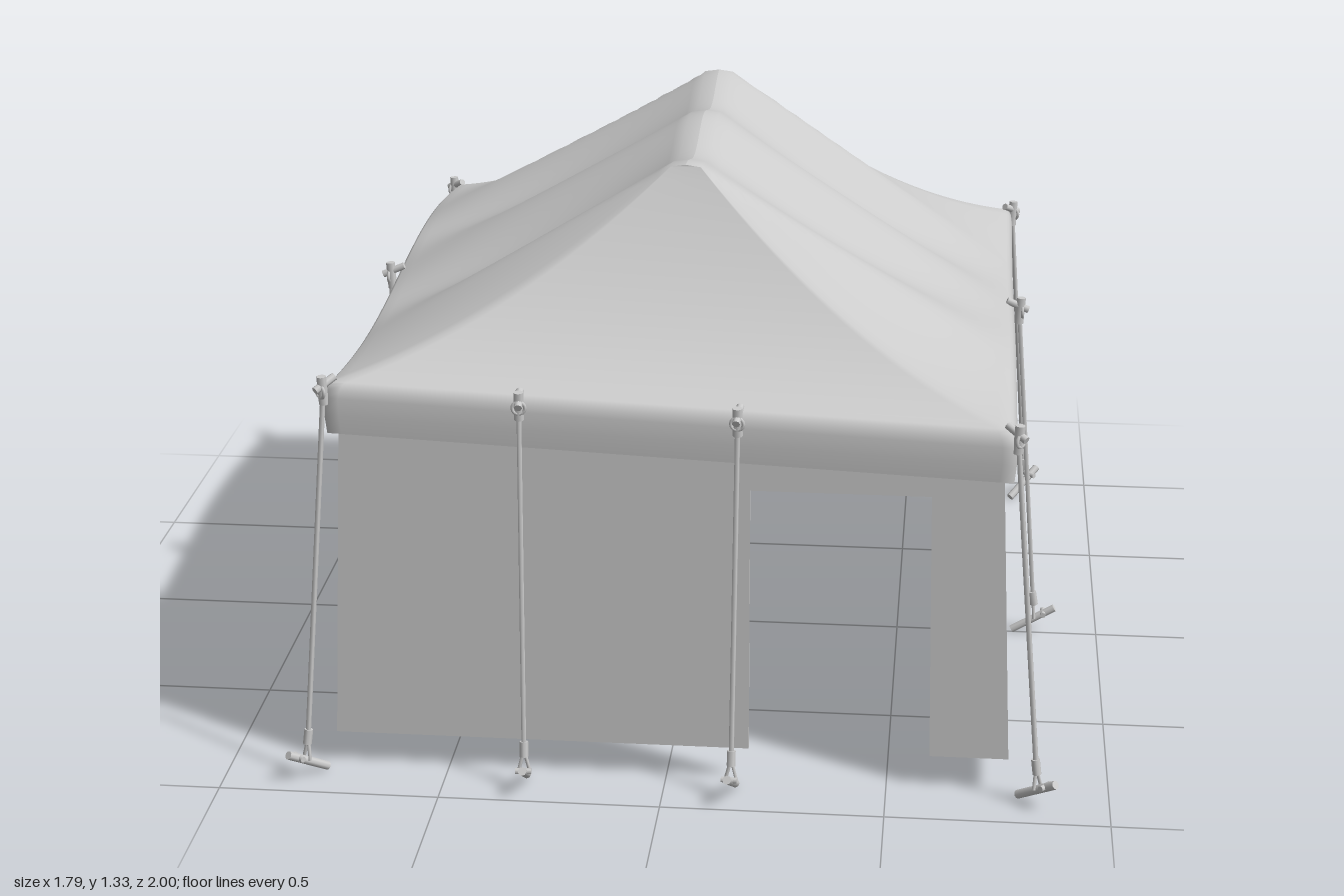
import * as THREE from 'three';

const mat = new THREE.MeshStandardMaterial({ color: 0xcccccc, side: THREE.DoubleSide });
const HX = 0.742, HZ = 0.84;          // half size of the roof at the eaves
const RX = 0.035, RZ = 0.44;          // half size of the ridge
const BAND = 0.118;                   // height of the valance

// Height of the valance's lower edge: four uneven corners plus a wave along the sides
function hemY(x, z) {
  const u = (x / HX + 1) / 2, v = (z / HZ + 1) / 2;
  const front = 0.82 + (0.755 - 0.82) * u;
  const back = 0.775 + (0.75 - 0.775) * u;
  const wave = Math.sin(Math.PI * z / 0.86) * 0.03 * x / HX;
  return back + (front - back) * v + wave + 0.008 * Math.cos(Math.PI * z / 1.7);
}

// Point on a rectangle, s = 0..4 running front, left side, back, right side
function onRect(s, hx, hz) {
  const side = Math.floor(s) % 4, k = (s - Math.floor(s)) * 2 - 1;
  return [[k * hx, hz], [hx, -k * hz], [-k * hx, -hz], [-hx, k * hz]][side];
}

// Sagging canvas stretched from the ridge to the eaves
function roofY(x, z, t, isEnd) {
  const tz = Math.max(0, (Math.abs(z) - RZ) / (HZ - RZ));
  const concave = 0.6 * (isEnd ? 1 : Math.min(1, tz / Math.max(t, 0.001)));
  const f = t + concave * t * (1 - t);
  const [ex, ez] = [x / (RX + (HX - RX) * t) * HX, z / (RZ + (HZ - RZ) * t) * HZ];
  const eave = hemY(ex, ez) + BAND;
  const dip = Math.abs(z) < RZ ? (1 - Math.cos(2 * Math.PI * z / RZ)) / 2 : 0;
  const sag = dip * (0.036 * (1 - t) + 0.035 * Math.sin(Math.PI * t));
  return 1.33 + (eave - 1.33) * f - sag;
}

// Roof and valance as one skin of concentric rings
function roofGeometry() {
  const N = 48, cols = 4 * N, R = 26, pos = [], idx = [];
  const ring = (hx, hz, yOf) => {
    for (let j = 0; j < cols; j++) {
      const [x, z] = onRect(j / N, hx, hz);
      const side = Math.floor(j / N);
      const isEnd = side % 2 === 0 || j % N === 0;
      pos.push(x, yOf(x, z, isEnd), z);
    }
  };
  ring(0, RZ, (x, z) => roofY(x, z, 0, false) + 0.005);
  for (let i = 0; i <= R; i++) {
    const t = i / R;
    ring(RX + (HX - RX) * t, RZ + (HZ - RZ) * t, (x, z, e) => roofY(x, z, t, e));
  }
  // rounded edge, then the hanging band: [outward, down]
  for (const [out, down] of [[0.007, 0.006], [0.013, 0.018], [0.016, 0.035], [0.016, 0.075], [0.012, BAND]])
    ring(HX + out, HZ + out, (x, z) => hemY(x, z) + BAND - down);
  const rows = pos.length / 3 / cols;
  for (let i = 0; i < rows - 1; i++)
    for (let j = 0; j < cols; j++) {
      const a = i * cols + j, b = i * cols + (j + 1) % cols, c = a + cols, d = b + cols;
      idx.push(c, d, b, c, b, a);
    }
  const g = new THREE.BufferGeometry();
  g.setAttribute('position', new THREE.Float32BufferAttribute(pos, 3));
  g.setIndex(idx);
  g.computeVertexNormals();
  return g;
}

// Thin cloth panel from an outline
function panel(points, name) {
  const shape = new THREE.Shape(points.map(([x, y]) => new THREE.Vector2(x, y)));
  const g = new THREE.ExtrudeGeometry(shape, { depth: 0.008, bevelEnabled: false });
  const m = new THREE.Mesh(g, mat);
  m.name = name;
  return m;
}

// Cylinder between two points
function rod(a, b, r, name, sides = 8) {
  const d = b.clone().sub(a);
  const m = new THREE.Mesh(new THREE.CylinderGeometry(r, r, d.length(), sides), mat);
  m.position.copy(a).add(b).multiplyScalar(0.5);
  m.quaternion.setFromUnitVectors(new THREE.Vector3(0, 1, 0), d.normalize());
  m.name = name;
  return m;
}

// Guy line: toggle at the eave, rope, slider, loop and ground peg
function guyLine(x, z, px, pz) {
  const g = new THREE.Group();
  g.name = 'guyLine';
  const V = (a, y, c) => new THREE.Vector3(a, y, c);
  const out = V(px - x, 0, pz - z).normalize();
  const across = V(-out.z, 0, out.x);
  const y = hemY(x, z) + 0.105;
  const top = V(x, y, z).addScaledVector(out, 0.012);
  const peg = V(px, 0.05, pz);
  const slider = top.clone().lerp(peg, 0.94);

  const at = (o, dOut, dUp, dAcross = 0) =>
    o.clone().addScaledVector(out, dOut).addScaledVector(across, dAcross).add(V(0, dUp, 0));
  g.add(rod(at(top, -0.03, 0.022), at(top, 0.022, 0), 0.009, 'toggle'));
  g.add(rod(at(top, 0, -0.035), at(top, 0.004, 0.03), 0.011, 'toggleCleat'));
  const ring = new THREE.Mesh(new THREE.TorusGeometry(0.014, 0.004, 6, 14), mat);
  ring.position.copy(at(top, 0.008, -0.005));
  ring.rotation.y = Math.atan2(out.x, out.z);
  ring.name = 'ropeRing';
  g.add(ring);
  g.add(rod(top, slider, 0.006, 'rope', 6));
  g.add(rod(at(slider, -0.003, 0.02), at(slider, 0.003, -0.015), 0.01, 'slider'));
  for (const s of [-1, 1])
    g.add(rod(slider, at(peg, 0, 0, s * 0.013), 0.004, 'ropeLoop', 6));
  // peg leans away from the tent
  g.add(rod(at(peg, -0.055, -0.036), at(peg, 0.05, 0.026), 0.01, 'peg'));
  g.add(rod(at(peg, 0.022, 0.012, -0.018), at(peg, 0.022, 0.012, 0.018), 0.007, 'pegHook'));
  return g;
}

export function createModel() {
  const model = new THREE.Group();
  model.name = 'tent';
  const tent = new THREE.Group();
  tent.name = 'canopy';
  tent.position.set(0.008, 0, 0.008);
  model.add(tent);

  const roof = new THREE.Mesh(roofGeometry(), mat);
  roof.name = 'roof';
  tent.add(roof);

  // Walls: the front and the back each have an open doorway, turned half way round
  const y0 = 0.085, y1 = 0.835;
  for (const [turn, label] of [[0, 'front'], [Math.PI, 'back']]) {
    const end = new THREE.Group();
    end.name = label + 'End';
    const wall = panel([[-0.765, y0], [0.18, y0], [0.18, 0.715], [0.577, 0.715], [0.588, y0],
      [0.765, y0], [0.73, y1], [-0.73, y1]], label + 'Wall');
    wall.position.z = 0.838;
    end.add(wall);
    end.rotation.y = turn;
    tent.add(end);
  }
  for (const [s, label] of [[1, 'left'], [-1, 'right']]) {
    const side = new THREE.Group();
    side.name = label + 'Side';
    const wall = panel([[-0.843, 0], [0.843, 0], [0.84, y1 - y0], [-0.84, y1 - y0]], label + 'Wall');
    wall.position.set(0, y0, 0.757);
    wall.rotation.x = -Math.atan(0.035 / (y1 - y0));
    side.add(wall);
    side.rotation.y = s * Math.PI / 2;
    tent.add(side);
  }

  // Guy lines: eave x, z and peg x, z
  for (const p of [
    [0.75, 0.845, 0.83, 0.91], [-0.75, 0.845, -0.82, 0.92],
    [0.75, -0.845, 0.82, -0.92], [-0.75, -0.845, -0.83, -0.91],
    [0.757, -0.005, 0.835, -0.005], [-0.757, 0, -0.84, 0.005],
    [-0.325, 0.855, -0.32, 0.935], [0.155, 0.855, 0.147, 0.935],
    [-0.165, -0.855, -0.165, -0.95], [0.325, -0.855, 0.325, -0.95],
  ]) tent.add(guyLine(...p));

  return model;
}
